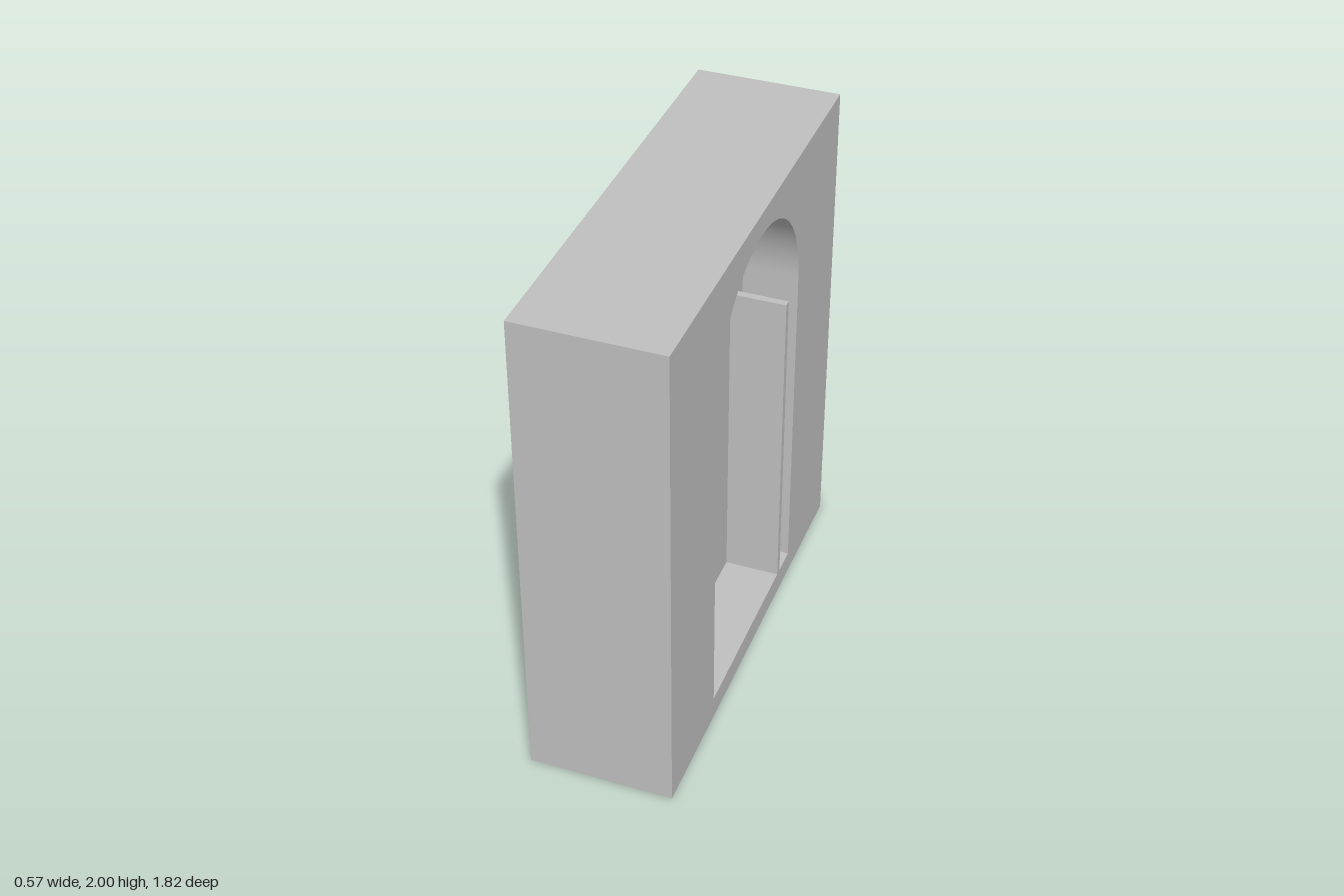
import * as THREE from 'three';
import { toCreasedNormals } from 'three/addons/utils/BufferGeometryUtils.js';

const W = 1.815, H = 2, D = 0.567;            // block: width, height, thickness
const R = 0.454, BASE = 0.095, SPRING = 1.456; // arched niche outline
const DEPTH = 0.22;                            // niche depth

// Trace the arched outline, counter-clockwise
function traceArch(path) {
  path.moveTo(-R, BASE);
  path.lineTo(R, BASE);
  path.lineTo(R, SPRING);
  path.absarc(0, SPRING, R, 0, Math.PI, false);
  path.closePath();
  return path;
}

export function createModel() {
  const model = new THREE.Group();
  model.name = 'wallNiche';
  const stone = new THREE.MeshStandardMaterial({ color: 0xc0c0c0 });
  stone.name = 'light grey';

  // Built facing +z, then turned so the niche opens towards +x
  const body = new THREE.Group();
  body.name = 'body';
  body.rotation.y = Math.PI / 2;
  model.add(body);

  const add = (name, geometry, x = 0, y = 0, z = 0) => {
    const mesh = new THREE.Mesh(geometry, stone);
    mesh.name = name;
    mesh.position.set(x, y, z);
    body.add(mesh);
  };

  // Block without its niche face
  const block = new THREE.BoxGeometry(W, H, D);
  const index = Array.from(block.index.array);
  index.splice(24, 6);
  block.setIndex(index);
  block.clearGroups();
  add('block', block, 0, H / 2, 0);

  // Face pierced by the arch
  const face = new THREE.Shape([
    new THREE.Vector2(-W / 2, 0), new THREE.Vector2(W / 2, 0),
    new THREE.Vector2(W / 2, H), new THREE.Vector2(-W / 2, H),
  ]);
  face.holes.push(traceArch(new THREE.Path()));
  add('nicheFace', new THREE.ShapeGeometry(face, 32), 0, 0, D / 2);

  // Niche back
  const arch = traceArch(new THREE.Shape());
  add('nicheBack', new THREE.ShapeGeometry(arch, 32), 0, 0, D / 2 - DEPTH);

  // Niche lining: extruded side walls only, mirrored so they face inwards
  const solid = new THREE.ExtrudeGeometry(arch, { depth: DEPTH, bevelEnabled: false, curveSegments: 32 });
  const sides = solid.groups[1];
  const points = solid.attributes.position.array.slice(sides.start * 3, (sides.start + sides.count) * 3);
  const lining = new THREE.BufferGeometry();
  lining.setAttribute('position', new THREE.BufferAttribute(points, 3));
  lining.scale(-1, 1, 1);
  for (let i = 0; i < points.length; i += 9) {
    // Mirroring the coordinates alone reverses each triangle's facing
    for (let k = 0; k < 9; k++) if (Math.abs(points[i + k]) < 1e-9) points[i + k] = 0;
  }
  add('nicheLining', toCreasedNormals(lining, 0.5), 0, 0, D / 2 - DEPTH);

  // Thin upright fin, flush with the face
  const finTop = 1.42;
  add('fin', new THREE.BoxGeometry(0.029, finTop - BASE, DEPTH), 0.328, (finTop + BASE) / 2, (D - DEPTH) / 2);

  return model;
}
